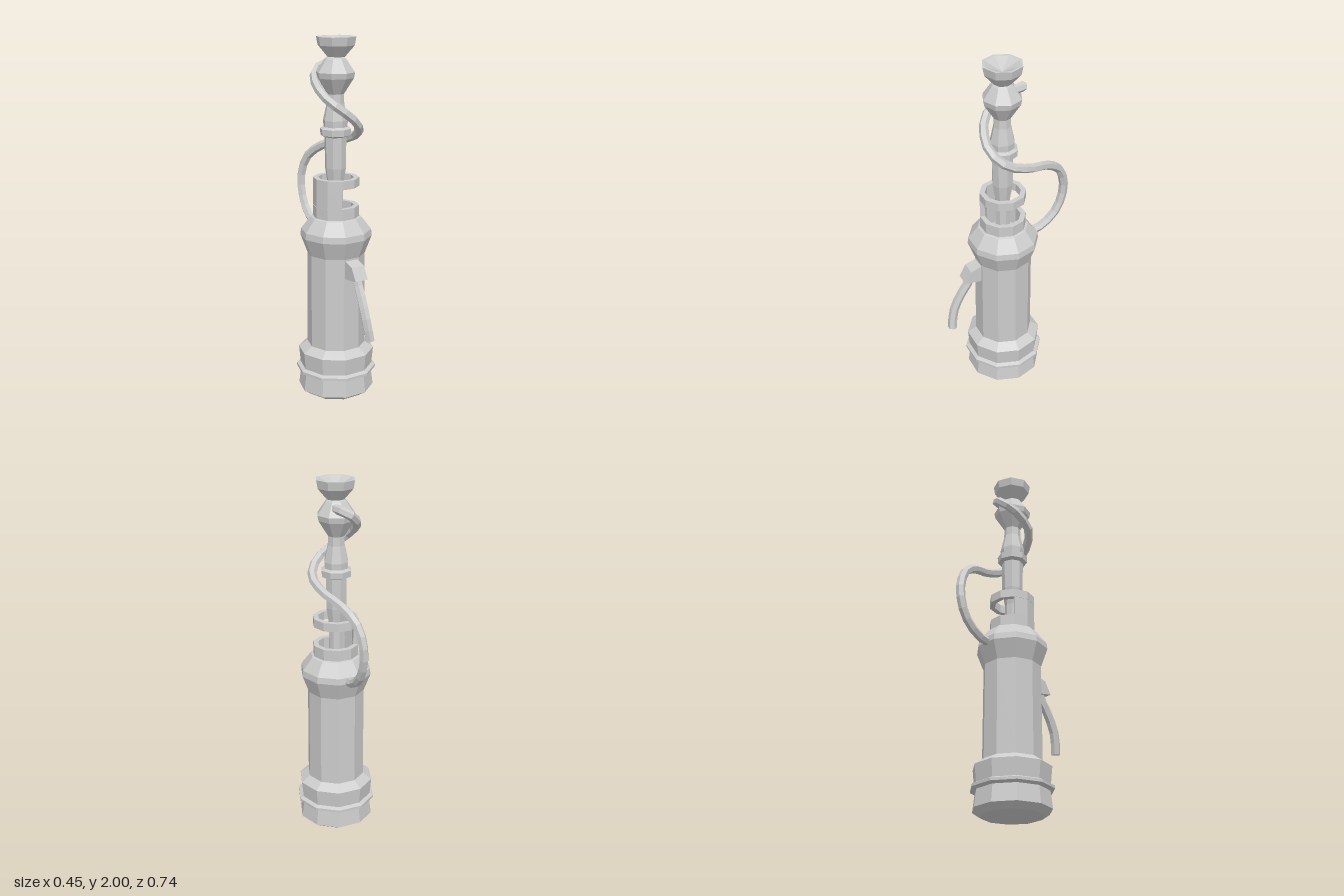
import * as THREE from 'three';

const AXIS_Z = 0.025;
const material = new THREE.MeshStandardMaterial({ color: 0xcccccc, flatShading: true });

function addMesh(parent, name, geometry, x = 0, y = 0, z = 0) {
  const mesh = new THREE.Mesh(geometry, material);
  mesh.name = name;
  mesh.position.set(x, y, z);
  parent.add(mesh);
  return mesh;
}

// Faceted turned part with a corner on +x; profile is [radius, height] pairs
function turned(profile, sides) {
  const points = profile.map(([r, y]) => new THREE.Vector2(r, y));
  return new THREE.LatheGeometry(points, sides, Math.PI / 2);
}

// Six-sided bent pipe with flat ends
function addPipe(parent, name, coords, radius, segments) {
  const group = new THREE.Group();
  group.name = name;
  parent.add(group);
  const curve = new THREE.CatmullRomCurve3(coords.map((p) => new THREE.Vector3(...p)), false, 'centripetal');
  addMesh(group, name + 'Pipe', new THREE.TubeGeometry(curve, segments, radius, 6));
  for (const [t, dir] of [[0, -1], [1, 1]]) {
    const cap = addMesh(group, name + 'End', new THREE.CircleGeometry(radius, 6));
    cap.position.copy(curve.getPoint(t));
    cap.quaternion.setFromUnitVectors(new THREE.Vector3(0, 0, 1), curve.getTangent(t).multiplyScalar(dir));
  }
}

export function createModel() {
  const model = new THREE.Group();
  model.name = 'model';

  // Ten-sided body: banded foot, barrel, shoulder and hollow collar
  addMesh(model, 'body', turned([
    [0, 0], [0.168, 0], [0.212, 0.03], [0.2, 0.125], [0.224, 0.135], [0.224, 0.15],
    [0.203, 0.16], [0.212, 0.255], [0.162, 0.29], [0.16, 0.82], [0.198, 0.92], [0.194, 0.955],
    [0.14, 1.025], [0.127, 1.03], [0.127, 1.092], [0.098, 1.092], [0.098, 0.98], [0, 0.98],
  ], 10), 0, 0, AXIS_Z);

  // Upper guard ring
  addMesh(model, 'guardRing', turned([
    [0.098, 1.2], [0.127, 1.2], [0.127, 1.247], [0.098, 1.247], [0.098, 1.2],
  ], 10), 0, 0, AXIS_Z);

  // Curved wall joining the collar and the guard ring on one side
  const arc = [-18, -54, -90, -126].map((deg) => THREE.MathUtils.degToRad(deg));
  const at = (r) => (a) => new THREE.Vector2(r * Math.sin(a), -r * Math.cos(a));
  const wallShape = new THREE.Shape([...arc.map(at(0.126)), ...arc.slice().reverse().map(at(0.099))]);
  const wall = new THREE.ExtrudeGeometry(wallShape, { depth: 0.12, bevelEnabled: false });
  wall.rotateX(-Math.PI / 2);
  addMesh(model, 'guardWall', wall, 0, 1.086, AXIS_Z);

  // Eight-sided stem with a collar ring and a bulb
  addMesh(model, 'stem', turned([
    [0.042, 0.97], [0.042, 1.2], [0.058, 1.3], [0.06, 1.47], [0.083, 1.48], [0.085, 1.515],
    [0.066, 1.525], [0.068, 1.56], [0.048, 1.65], [0.046, 1.7], [0.1, 1.785], [0.106, 1.815],
    [0.058, 1.885], [0.04, 1.9],
  ], 8), -0.004, 0, AXIS_Z);

  // Dished cup at the top
  addMesh(model, 'cup', turned([
    [0, 1.885], [0.048, 1.895], [0.1, 1.955], [0.108, 2], [0.094, 2], [0, 1.955],
  ], 8), 0, 0, AXIS_Z);

  // Long hose: loops out at the back, then winds up around the stem
  addPipe(model, 'windingHose', [
    [0, 0.925, -0.14], [0, 0.945, -0.22], [0, 1.03, -0.31], [0.003, 1.17, -0.348],
    [0.02, 1.3, -0.31], [0.06, 1.38, -0.21], [0.115, 1.43, -0.07], [0.122, 1.485, 0.06],
    [0.065, 1.55, 0.125], [-0.01, 1.61, 0.125], [-0.09, 1.68, 0.075], [-0.096, 1.76, -0.03],
    [-0.04, 1.825, -0.105], [0.025, 1.86, -0.07], [0.025, 1.855, -0.02],
  ], 0.025, 26);

  // Wedge fitting on the front of the barrel
  const fittingShape = new THREE.Shape([[0.15, 0.71], [0.2, 0.71], [0.278, 0.722], [0.24, 0.79], [0.18, 0.81], [0.15, 0.81]]
    .map(([z, y]) => new THREE.Vector2(z, y)));
  const fitting = new THREE.ExtrudeGeometry(fittingShape, { depth: 0.08, bevelEnabled: false });
  fitting.rotateY(-Math.PI / 2);
  addMesh(model, 'fitting', fitting, 0.04);

  // Short hose hanging from the fitting
  addPipe(model, 'hangingHose', [
    [0, 0.74, 0.225], [0, 0.69, 0.245], [-0.006, 0.6, 0.298], [-0.006, 0.5, 0.338], [0.006, 0.4, 0.353],
  ], 0.026, 6);

  return model;
}
